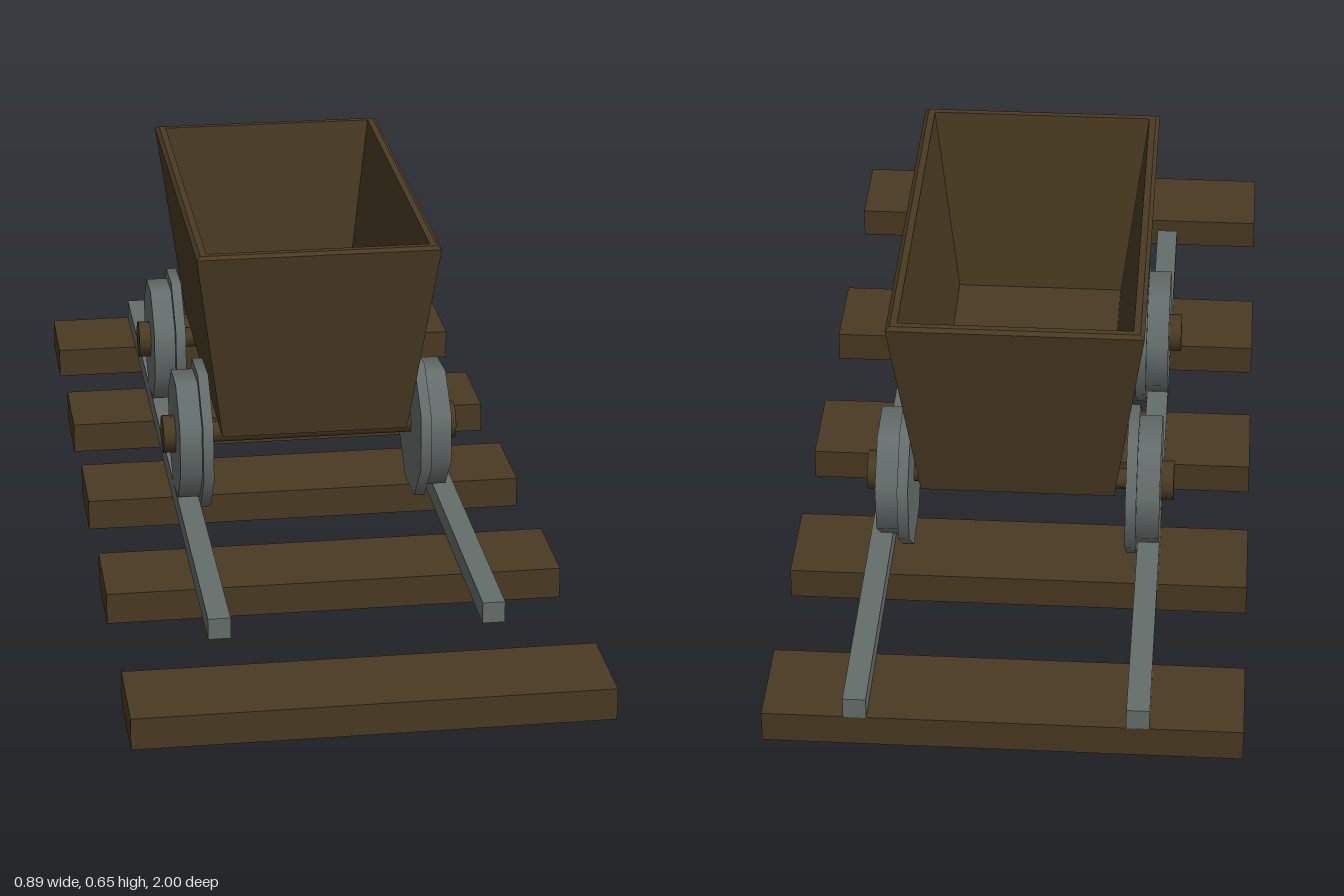
import * as THREE from 'three';

const wood = new THREE.MeshStandardMaterial({ color: 0x493a22, side: THREE.DoubleSide });
wood.name = 'darkWood';
const metal = new THREE.MeshStandardMaterial({ color: 0x656e6c });
metal.name = 'greyMetal';

function add(parent, name, geometry, material, x = 0, y = 0, z = 0) {
  const mesh = new THREE.Mesh(geometry, material);
  mesh.name = name;
  mesh.position.set(x, y, z);
  parent.add(mesh);
  return mesh;
}

// Box without its underside
function openBox(w, h, d) {
  const g = new THREE.BoxGeometry(w, h, d);
  const index = Array.from(g.index.array);
  index.splice(18, 6);
  g.setIndex(index);
  g.clearGroups();
  return g;
}

// Cylinder lying along x
function disc(radius, length, sides = 8) {
  const start = THREE.MathUtils.degToRad(26.5);
  return new THREE.CylinderGeometry(radius, radius, length, sides, 1, false, start).rotateZ(Math.PI / 2);
}

// Flat-faced shell through rectangular rings [halfX, y, halfZ], capped at both ends
function rectLoft(rings) {
  const pos = [];
  const corners = rings.map(([x, y, z]) => [[-x, y, z], [x, y, z], [x, y, -z], [-x, y, -z]]);
  const quad = (a, b, c, d) => pos.push(...a, ...b, ...c, ...a, ...c, ...d);
  for (let i = 0; i < corners.length - 1; i++) {
    const lo = corners[i], hi = corners[i + 1];
    for (let k = 0; k < 4; k++) {
      const n = (k + 1) % 4;
      quad(lo[k], lo[n], hi[n], hi[k]);
    }
  }
  const first = corners[0], last = corners[corners.length - 1];
  quad(first[3], first[2], first[1], first[0]);
  quad(last[0], last[1], last[2], last[3]);
  const g = new THREE.BufferGeometry();
  g.setAttribute('position', new THREE.Float32BufferAttribute(pos, 3));
  g.computeVertexNormals();
  return g;
}

export function createModel() {
  const model = new THREE.Group();
  model.name = 'mineCartOnTrack';

  // Track: hollow sleepers and two rails
  const track = new THREE.Group();
  track.name = 'track';
  model.add(track);
  for (const z of [0.905, 0.385, -0.058, -0.465, -0.905]) {
    add(track, 'sleeper', openBox(0.888, 0.062, 0.19), wood, 0, 0.031, z);
  }
  for (const [name, x] of [['rightRail', -0.25], ['leftRail', 0.271]]) {
    add(track, name, new THREE.BoxGeometry(0.043, 0.042, 1.698), metal, x, 0.082, -0.151);
  }

  const cart = new THREE.Group();
  cart.name = 'cart';
  model.add(cart);

  // Tub: outer wall, bevelled rim, inner wall, floor
  add(cart, 'tub', rectLoft([
    [0.186, 0.25, 0.358],
    [0.24, 0.648, 0.421],
    [0.232, 0.654, 0.413],
    [0.219, 0.654, 0.4],
    [0.168, 0.275, 0.345],
  ]), wood, 0.002, 0, -0.177);

  // Wheel sets: axle, flanged wheels and hubs
  for (const z of [0.09, -0.44]) {
    const set = new THREE.Group();
    set.name = 'wheelSet';
    set.position.set(0.001, 0.225, z);
    cart.add(set);
    add(set, 'axle', disc(0.021, 0.44), wood);
    for (const s of [-1, 1]) {
      add(set, 'wheelFlange', disc(0.15, 0.021), metal, s * 0.218);
      add(set, 'wheelTread', disc(0.129, 0.045), metal, s * 0.25);
      add(set, 'hub', disc(0.038, 0.03, 12), wood, s * 0.282);
    }
  }
  return model;
}
